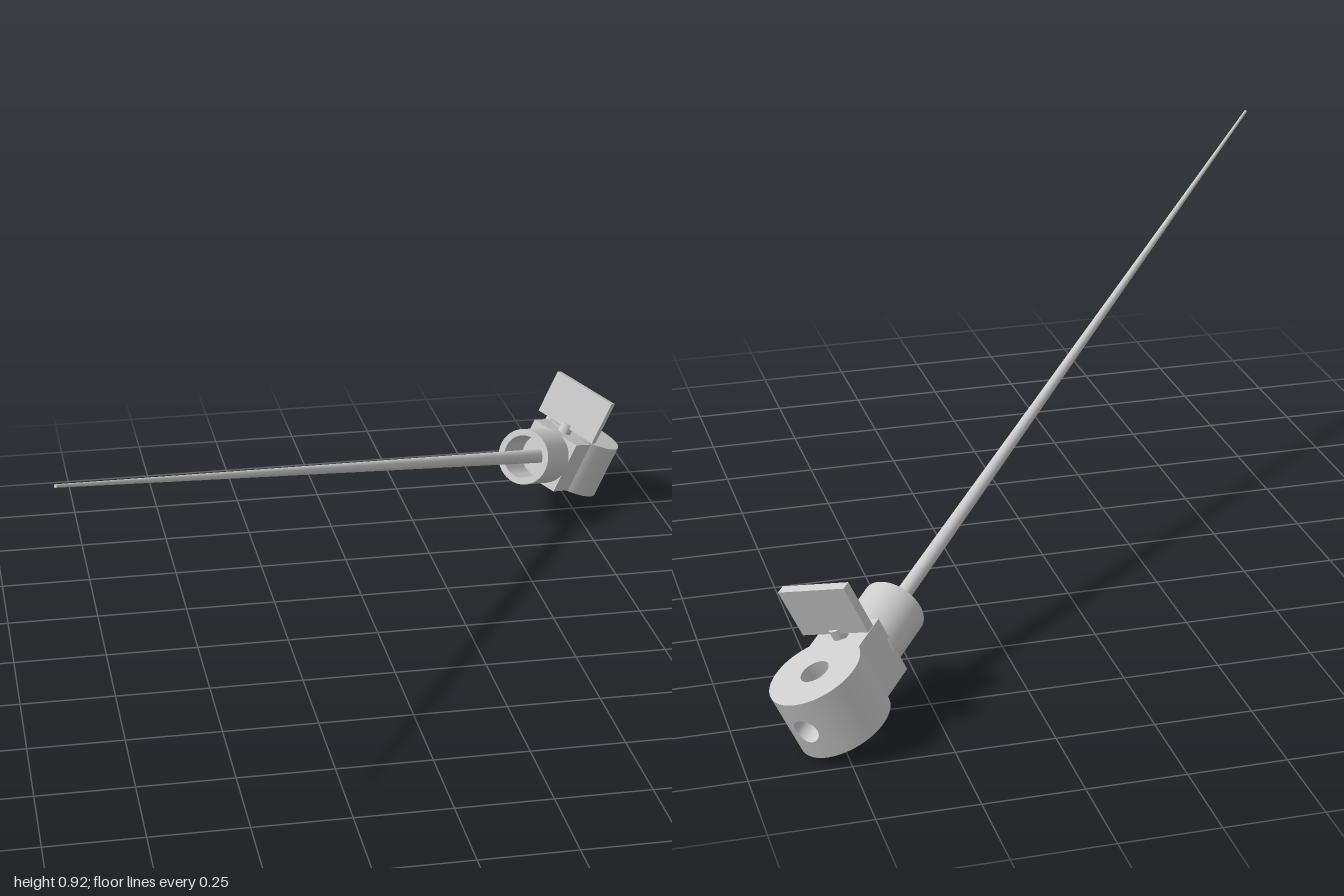
import * as THREE from 'three';
import { toCreasedNormals } from 'three/addons/utils/BufferGeometryUtils.js';
import { ParametricGeometry } from 'three/addons/geometries/ParametricGeometry.js';

const material = new THREE.MeshStandardMaterial({ color: 0xcccccc, side: THREE.DoubleSide });

// Local frame: origin at the eye centre, y along the eye's bore, rod runs toward -x.
const EYE_R = 0.12, BORE_R = 0.037, SIDE_R = 0.033, HALF_H = 0.083;

// Cylinder wall of radius r, left open around +x for a patch of half width hw.
function openWall(r, hw) {
  const gap = Math.asin(hw / r);
  return new THREE.CylinderGeometry(r, r, 2 * HALF_H, 64, 1, true, Math.PI / 2 + gap, 2 * Math.PI - 2 * gap);
}

// Curved patch that fills the opening, pierced by the round side hole.
function piercedPatch(r, hw) {
  return new ParametricGeometry((u, v, p) => {
    const t = u * 2 * Math.PI, c = Math.cos(t), s = Math.sin(t);
    const m = Math.max(Math.abs(c), Math.abs(s));
    const z = THREE.MathUtils.lerp(SIDE_R * c, hw * c / m, v);
    const y = THREE.MathUtils.lerp(SIDE_R * s, HALF_H * s / m, v);
    p.set(Math.sqrt(Math.max(0, r * r - z * z)), y, -z);
  }, 48, 8);
}

// Wall of the side hole, from the bore out to the eye's surface.
function sideHoleWall() {
  return new ParametricGeometry((u, v, p) => {
    const t = u * 2 * Math.PI, z = SIDE_R * Math.cos(t);
    const x = THREE.MathUtils.lerp(Math.sqrt(BORE_R ** 2 - z * z), Math.sqrt(EYE_R ** 2 - z * z), v);
    p.set(x, SIDE_R * Math.sin(t), z);
  }, 48, 2);
}

export function createModel() {
  const model = new THREE.Group();
  const body = new THREE.Group();
  body.name = 'tiltedBody';
  body.rotation.set(0, Math.PI / 4, -0.436, 'ZYX');
  body.position.set(0.776, 0.126, -0.88);
  model.add(body);

  const add = (name, geometry, x = 0, y = 0, z = 0, parent = body) => {
    const mesh = new THREE.Mesh(geometry, material);
    mesh.name = name;
    mesh.position.set(x, y, z);
    parent.add(mesh);
    return mesh;
  };

  // Eye: outer wall, bore, end faces and side hole
  const eye = new THREE.Group();
  eye.name = 'eye';
  body.add(eye);
  for (const [name, r, hw] of [['eyeWall', EYE_R, 0.06], ['eyeBore', BORE_R, 0.0362]]) {
    add(name, openWall(r, hw), 0, 0, 0, eye);
    add(name + 'Patch', piercedPatch(r, hw), 0, 0, 0, eye);
  }
  add('sideHole', sideHoleWall(), 0, 0, 0, eye);
  for (const side of [1, -1]) {
    const face = new THREE.RingGeometry(BORE_R, EYE_R, 64).rotateX(-side * Math.PI / 2);
    add(side > 0 ? 'eyeTop' : 'eyeBottom', face, 0, side * HALF_H, 0, eye);
  }

  // Block joining eye and socket
  add('neckBlock', new THREE.BoxGeometry(0.11, 0.16, 0.16), -0.135, 0, 0);

  // Hollow socket around the rod's thick end
  const profile = [[0, -0.21], [0.064, -0.21], [0.064, -0.33], [0.083, -0.33], [0.083, -0.18], [0, -0.18]]
    .map(([r, a]) => new THREE.Vector2(r, a));
  const socket = new THREE.LatheGeometry(profile, 48).rotateZ(-Math.PI / 2);
  add('socket', toCreasedNormals(socket, 0.6));

  // Long tapering rod
  const rodStart = -0.2, rodEnd = -2.655;
  const rod = new THREE.CylinderGeometry(0.004, 0.021, rodStart - rodEnd, 24).rotateZ(Math.PI / 2);
  add('rod', rod, (rodStart + rodEnd) / 2, 0, 0);

  // Thumb plate on a short stem
  add('thumbPlate', new THREE.BoxGeometry(0.024, 0.135, 0.205), -0.13, 0.166, 0);
  add('plateStem', new THREE.CylinderGeometry(0.02, 0.02, 0.04, 24), -0.13, 0.09, 0);

  return model;
}
